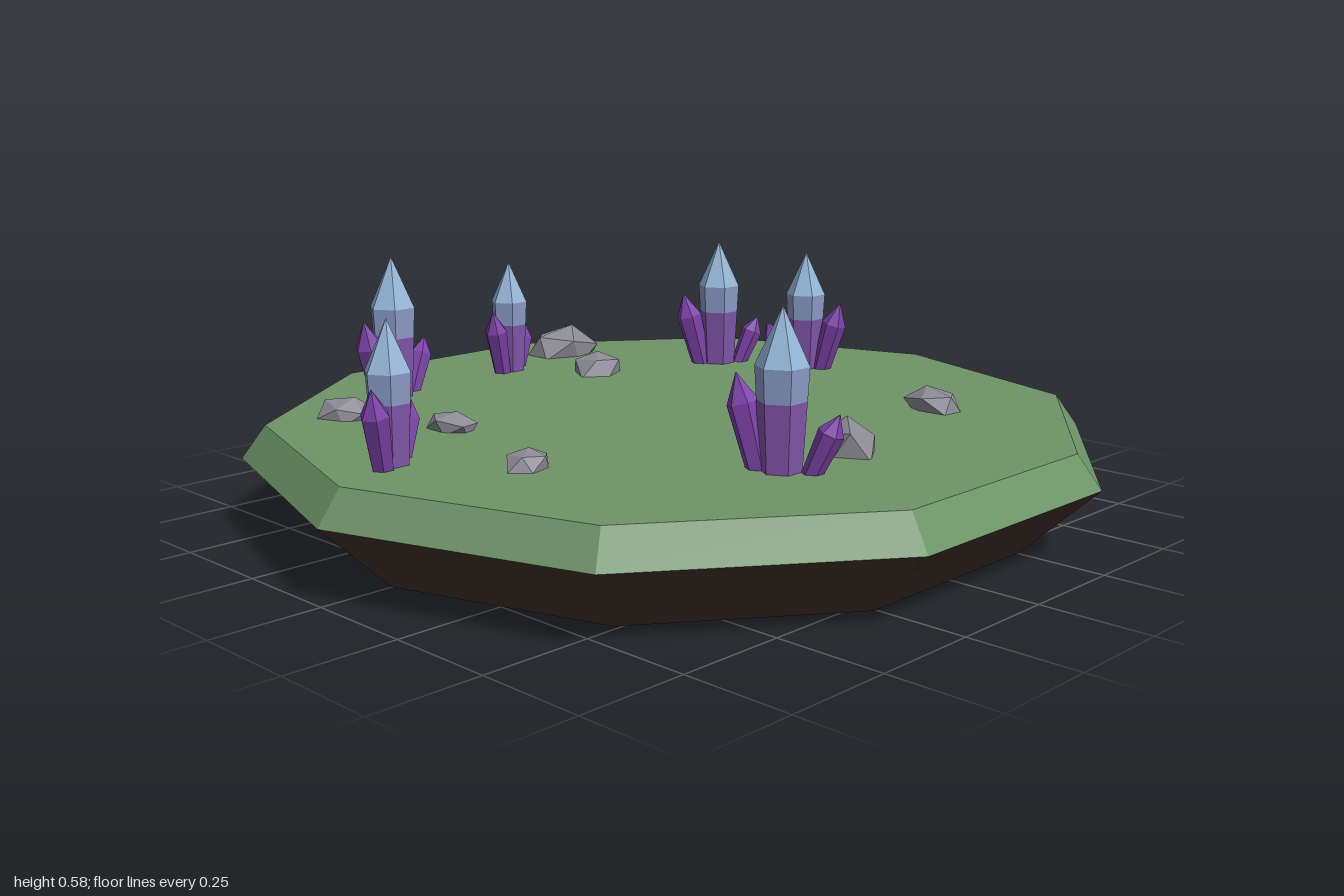
import * as THREE from 'three';

const mat = (name, color) => {
  const m = new THREE.MeshStandardMaterial({ color, flatShading: true });
  m.name = name;
  return m;
};

const GROUND = 0.235;

export function createModel() {
  const model = new THREE.Group();
  model.name = 'crystalIsland';

  const grass = mat('grass green', 0x6e9468);
  const earth = mat('dark earth', 0x45332d);
  const stone = mat('grey stone', 0x8c8b94);
  const purple = mat('crystal purple', 0x8055a8);
  const violet = mat('shard violet', 0x7c42a8);
  const lavender = mat('crystal blue lavender', 0x8c9cc8);
  const ice = mat('crystal ice blue', 0x94b6d8);

  const add = (parent, name, geometry, material) => {
    const mesh = new THREE.Mesh(geometry, material);
    mesh.name = name;
    parent.add(mesh);
    return mesh;
  };

  // Ten-sided ground slab: grass cap over a tapering earth base
  const slab = (name, rTop, rBottom, y0, y1, material) => {
    const g = new THREE.CylinderGeometry(rTop, rBottom, y1 - y0, 10, 1, false, Math.PI / 2);
    add(model, name, g, material).position.y = (y0 + y1) / 2;
  };
  slab('grassCap', 0.945, 1, 0.16, GROUND, grass);
  slab('earthBase', 1, 0.83, 0, 0.16, earth);

  // Six-sided crystal made of stacked rings: [y, radius] pairs with a material per band
  const crystal = (name, rings, materials) => {
    const group = new THREE.Group();
    group.name = name;
    materials.forEach((material, i) => {
      const [y0, r0] = rings[i];
      const [y1, r1] = rings[i + 1];
      const g = new THREE.CylinderGeometry(r1, r0, y1 - y0, 6, 1, true, Math.PI / 2);
      g.translate(0, (y0 + y1) / 2, 0);
      add(group, name + 'Band' + (i + 1), g, material);
    });
    return group;
  };

  // Small shard leaning from its foot to its tip
  const shard = (name, foot, tip, r) => {
    const axis = tip.clone().sub(foot);
    const h = axis.length();
    const s = crystal(name, [[-0.02, r * 0.72], [h * 0.68, r], [h, 0]], [violet, violet]);
    s.position.copy(foot);
    s.quaternion.setFromUnitVectors(new THREE.Vector3(0, 1, 0), axis.normalize());
    return s;
  };

  // Clusters: x, z, tip height, direction of the tall shard, direction of the short shard
  const clusters = [
    [-0.37, -0.6, 0.577, [-0.09, 0.02], [0.1, -0.03]],
    [0.03, -0.64, 0.52, [-0.07, 0.025], [0.075, -0.035]],
    [0.49, -0.32, 0.56, [-0.07, -0.05], [0.075, 0.05]],
    [0.6, -0.11, 0.54, [0.03, 0.08], [-0.03, -0.085]],
    [-0.77, -0.07, 0.54, [-0.07, 0.045], [0.08, -0.045]],
    [-0.25, 0.54, 0.575, [-0.03, -0.085], [0.045, 0.09]],
  ];
  clusters.forEach(([x, z, top, tall, short], i) => {
    const cluster = new THREE.Group();
    cluster.name = 'crystalCluster' + (i + 1);
    cluster.position.set(x, GROUND, z);
    const h = top - GROUND;
    const k = h / 0.34;
    cluster.add(crystal('mainCrystal',
      [[-0.01, 0.044 * k], [h * 0.43, 0.053 * k], [h * 0.64, 0.057 * k], [h, 0]],
      [purple, lavender, ice]));
    const at = ([dx, dz], f, y) => new THREE.Vector3(dx * f, y, dz * f);
    cluster.add(shard('tallShard', at(tall, 0.55, 0), at(tall, 1.12, h * 0.58), 0.035 * k));
    cluster.add(shard('shortShard', at(short, 0.65, 0), at(short, 1.2, h * 0.37), 0.028 * k));
    model.add(cluster);
  });

  // Faceted rocks: x, z, half length, half width, top height, turn in degrees
  const rocks = [
    [0.275, -0.71, 0.105, 0.078, 0.308, -5],
    [0.175, -0.46, 0.085, 0.062, 0.29, 45],
    [-0.59, -0.485, 0.066, 0.05, 0.282, -60],
    [-0.495, -0.225, 0.063, 0.043, 0.276, -75],
    [-0.59, 0.15, 0.06, 0.045, 0.277, 35],
    [-0.015, 0.525, 0.096, 0.072, 0.298, 42],
    [0.43, 0.43, 0.078, 0.053, 0.285, 80],
  ];
  rocks.forEach(([x, z, a, b, top, turn], i) => {
    const g = new THREE.IcosahedronGeometry(1, 0);
    const p = g.attributes.position;
    const v = new THREE.Vector3();
    // Uneven corners: the same push for every copy of a corner
    for (let j = 0; j < p.count; j++) {
      v.fromBufferAttribute(p, j);
      const n = Math.sin(v.x * 5.1 + v.y * 7.3 + v.z * 3.7 + i * 2.1);
      v.multiplyScalar(1.04 + 0.12 * n);
      p.setXYZ(j, v.x, v.y, v.z);
    }
    g.rotateZ(0.25);
    g.scale(a, top - 0.243, b);
    g.computeVertexNormals();
    const rock = add(model, 'rock' + (i + 1), g, stone);
    rock.position.set(x, 0.243, z);
    rock.rotation.y = THREE.MathUtils.degToRad(turn);
  });

  return model;
}
